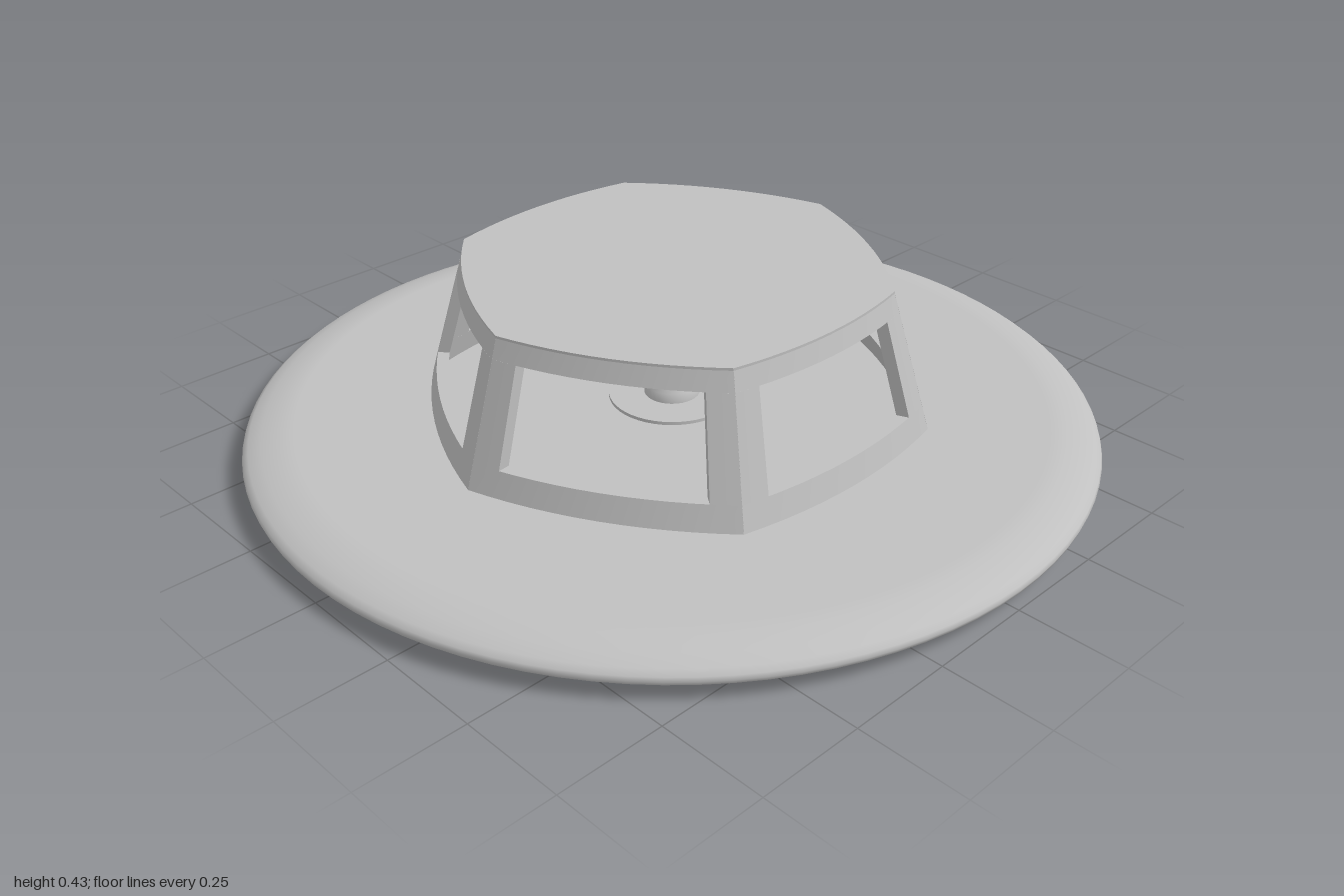
import * as THREE from 'three';

const FLOOR = 0.093, TOP = 0.43, ROOF = 0.006;
const AP = 0.526, HALF = 0.304, BULGE = 0.037, TAPER = 0.16, THICK = 0.026;

// Distance of a bowed wall from the centre, t running -1..1 along the wall
const bow = (t) => AP + BULGE * (1 - t * t);

// A curved, leaning slab of one wall between t0..t1 and v0..v1
function wallSlab(t0, t1, v0, v1) {
  const g = new THREE.BoxGeometry(1, 1, 1, 12, 1, 1);
  const p = g.attributes.position;
  const h = TOP - ROOF - FLOOR;
  for (let i = 0; i < p.count; i++) {
    const t = t0 + (t1 - t0) * (p.getX(i) + 0.5);
    const v = v0 + (v1 - v0) * (p.getY(i) + 0.5);
    const s = 1 - TAPER * v - (p.getZ(i) < 0 ? THICK / AP : 0);
    p.setXYZ(i, s * t * HALF, FLOOR + v * h, s * bow(t));
  }
  g.computeVertexNormals();
  return g;
}

export function createModel() {
  const model = new THREE.Group();
  model.name = 'saucerWithCabin';
  const grey = new THREE.MeshStandardMaterial({ color: 0xc0c0c0 });
  grey.name = 'light grey';

  const add = (parent, geometry, name) => {
    const m = new THREE.Mesh(geometry, grey);
    m.name = name;
    parent.add(m);
    return m;
  };
  const lathe = (pts, n) => new THREE.LatheGeometry(pts.map(([x, y]) => new THREE.Vector2(x, y)), n);

  // Round hull with a soft rim
  add(model, lathe([
    [0, 0], [0.88, 0], [0.915, 0.003], [0.955, 0.017], [0.985, 0.031], [0.997, 0.041], [1, 0.05],
    [0.997, 0.059], [0.985, 0.069], [0.955, 0.081], [0.915, 0.09], [0.88, FLOOR], [0, FLOOR],
  ], 96), 'hull');

  // Six bowed walls, each a frame around one window
  const w0 = 0.18, w1 = 0.865, side = 0.78;
  const pieces = [
    ['sill', wallSlab(-1, 1, 0, w0)],
    ['header', wallSlab(-1, 1, w1, 1)],
    ['rightPost', wallSlab(-1, -side, w0, w1)],
    ['leftPost', wallSlab(side, 1, w0, w1)],
  ];
  for (let k = 0; k < 6; k++) {
    const wall = new THREE.Group();
    wall.name = 'cabinWall';
    wall.rotation.y = Math.PI / 6 + k * Math.PI / 3;
    for (const [name, g] of pieces) add(wall, g, name);
    model.add(wall);
  }

  // Flat roof following the bowed outline
  const outline = [];
  for (let k = 0; k < 6; k++) {
    const a = Math.PI / 6 + k * Math.PI / 3;
    for (let i = 0; i < 12; i++) {
      const t = -1 + i / 6, x = t * HALF, z = bow(t), s = 1 - TAPER;
      outline.push(new THREE.Vector2(
        s * (x * Math.cos(a) + z * Math.sin(a)),
        s * (x * Math.sin(a) - z * Math.cos(a))
      ));
    }
  }
  const roofGeo = new THREE.ExtrudeGeometry(new THREE.Shape(outline), { depth: ROOF, bevelEnabled: false });
  roofGeo.rotateX(-Math.PI / 2);
  add(model, roofGeo, 'roof').position.y = TOP - ROOF;

  // Central column on a low round plate
  add(model, new THREE.CylinderGeometry(0.15, 0.15, 0.008, 48), 'columnPlate').position.y = FLOOR + 0.004;
  add(model, lathe([
    [0.066, 0.1], [0.064, 0.125], [0.04, 0.15], [0.038, 0.165],
    [0.038, 0.34], [0.04, 0.35], [0.06, 0.378], [0.066, TOP - ROOF],
  ], 32), 'column');

  return model;
}
